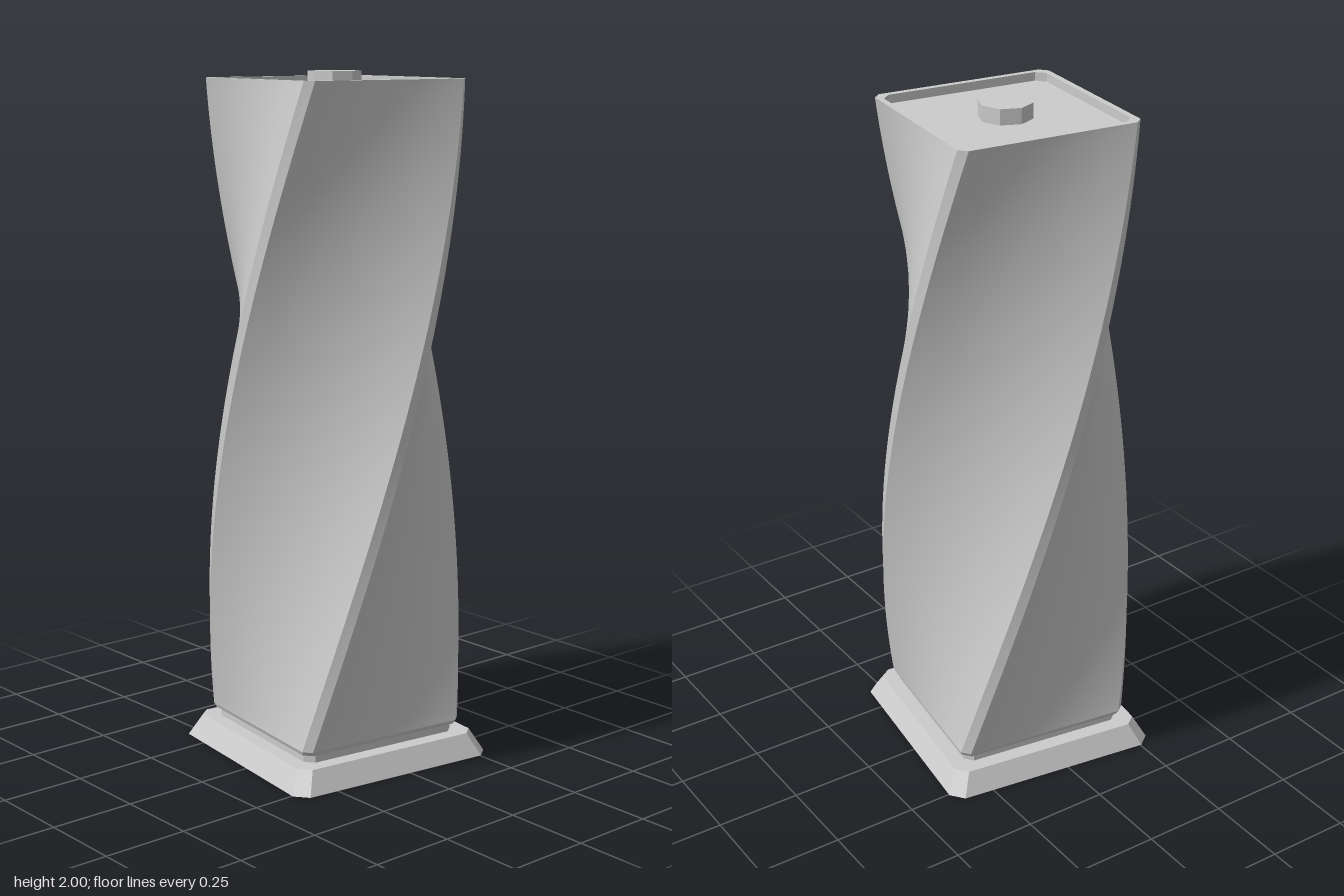
import * as THREE from 'three';
import { toCreasedNormals } from 'three/addons/utils/BufferGeometryUtils.js';

const material = new THREE.MeshStandardMaterial({ color: 0xcccccc, side: THREE.DoubleSide });
const BOTTOM_TURN = 7.5, TOP_TURN = -84; // degrees, positive turns +x towards +z
const SIDE_STEPS = 6, BODY_STEPS = 56;

// Square outline with chamfered corners, turned about the vertical axis
function outline([half, chamfer, y, turn]) {
  const points = [];
  const t = THREE.MathUtils.degToRad(turn);
  const flat = half - chamfer;
  for (let side = 0; side < 4; side++) {
    const a = t + side * Math.PI / 2;
    for (let i = 0; i <= SIDE_STEPS; i++) {
      const s = -flat + 2 * flat * i / SIDE_STEPS;
      points.push([
        half * Math.cos(a) - s * Math.sin(a), y,
        half * Math.sin(a) + s * Math.cos(a),
      ]);
    }
  }
  return points;
}

// Skin through a stack of outlines [half width, chamfer, height, turn]
function skin(name, sections) {
  const rings = sections.map(outline);
  const n = rings[0].length;
  const positions = rings.flat(2);
  const index = [];
  for (let r = 0; r < rings.length - 1; r++) {
    for (let i = 0; i < n; i++) {
      const a = r * n + i, b = r * n + (i + 1) % n;
      index.push(a, a + n, b, b, a + n, b + n);
    }
  }
  const geometry = new THREE.BufferGeometry();
  geometry.setAttribute('position', new THREE.Float32BufferAttribute(positions, 3));
  geometry.setIndex(index);
  const mesh = new THREE.Mesh(toCreasedNormals(geometry, Math.PI / 6), material);
  mesh.name = name;
  return mesh;
}

export function createModel() {
  const model = new THREE.Group();
  model.name = 'twistedColumn';

  // Open, sloping foot with a flat flange on top
  model.add(skin('foot', [
    [0.336, 0.036, 0, BOTTOM_TURN],
    [0.302, 0.031, 0.065, BOTTOM_TURN],
    [0.258, 0.024, 0.065, BOTTOM_TURN],
  ]));

  // Recessed neck and the lip under the body
  model.add(skin('neck', [
    [0.258, 0.024, 0.065, BOTTOM_TURN],
    [0.258, 0.024, 0.088, BOTTOM_TURN],
    [0.268, 0.023, 0.09, BOTTOM_TURN],
    [0.273, 0.022, 0.102, BOTTOM_TURN],
  ]));

  // Hollow body, turning steadily through a quarter turn
  const body = [];
  for (let i = 0; i <= BODY_STEPS; i++) {
    const t = i / BODY_STEPS;
    body.push([0.273, 0.022, 0.102 + t * 1.878, THREE.MathUtils.lerp(BOTTOM_TURN, TOP_TURN, t)]);
  }
  model.add(skin('twistedBody', body));

  // Rim and sunken lid
  model.add(skin('lid', [
    [0.273, 0.022, 1.98, TOP_TURN],
    [0.255, 0.025, 1.98, TOP_TURN],
    [0.255, 0.025, 1.955, TOP_TURN],
    [0.002, 0.0005, 1.955, TOP_TURN],
  ]));

  // Eight-sided knob
  const knobGeometry = new THREE.CylinderGeometry(0.077, 0.077, 0.045, 8);
  const knob = new THREE.Mesh(toCreasedNormals(knobGeometry, Math.PI / 6), material);
  knob.name = 'knob';
  knob.position.y = 1.9775;
  model.add(knob);

  return model;
}
